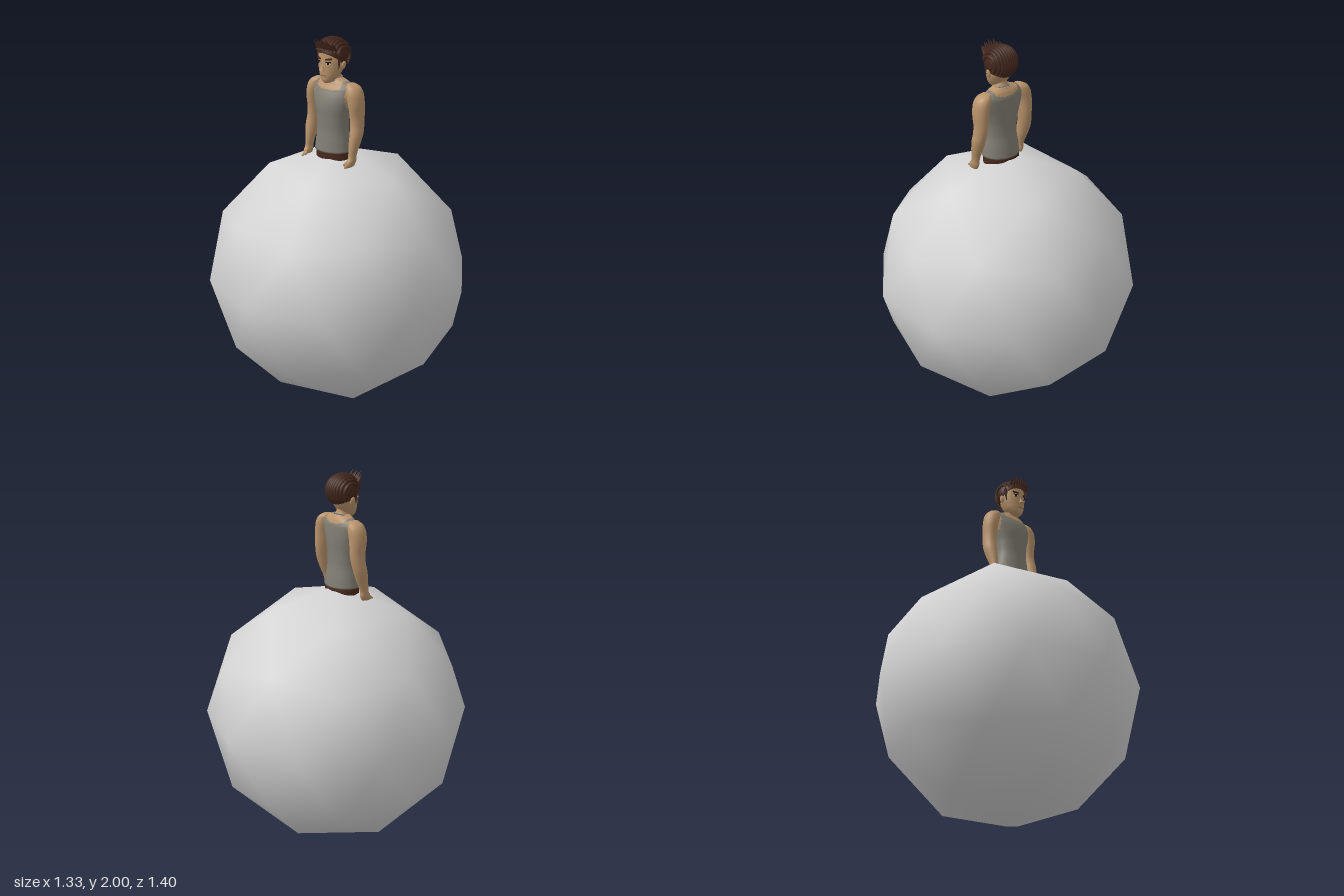
import * as THREE from 'three';

const mat = (name, color, side = THREE.FrontSide) => {
  const m = new THREE.MeshStandardMaterial({ color, side });
  m.name = name;
  return m;
};

// Smooth body from rows of [y, centre x, centre z, radius x, radius z], lowest first.
// pick(x, y, z) gives the material group of each face.
function loft(rows, n = 24, steps = 24, pick = () => 0) {
  const mid = new THREE.CatmullRomCurve3(rows.map(r => new THREE.Vector3(r[1], r[0], r[2])));
  const rad = new THREE.CatmullRomCurve3(rows.map(r => new THREE.Vector3(r[3], 0, r[4])));
  const rings = [];
  for (let i = 0; i <= steps; i++) rings.push([mid.getPoint(i / steps), rad.getPoint(i / steps)]);
  const none = new THREE.Vector3();
  rings.unshift([rings[0][0], none]);
  rings.push([rings[rings.length - 1][0], none]);

  const pos = [], lists = [[], []];
  for (const [c, r] of rings) {
    for (let j = 0; j < n; j++) {
      const a = j / n * Math.PI * 2;
      pos.push(c.x + r.x * Math.cos(a), c.y, c.z + r.z * Math.sin(a));
    }
  }
  for (let i = 0; i < rings.length - 1; i++) {
    for (let j = 0; j < n; j++) {
      const a = i * n + j, b = i * n + (j + 1) % n, c = b + n, d = a + n;
      const at = k => (pos[a * 3 + k] + pos[c * 3 + k]) / 2;
      lists[pick(at(0), at(1), at(2))].push(a, d, b, b, d, c);
    }
  }
  const g = new THREE.BufferGeometry();
  g.setAttribute('position', new THREE.Float32BufferAttribute(pos, 3));
  g.setIndex([...lists[0], ...lists[1]]);
  g.addGroup(0, lists[0].length, 0);
  if (lists[1].length) g.addGroup(lists[0].length, lists[1].length, 1);
  g.computeVertexNormals();
  return g;
}

// Aim a y-aligned geometry from point a to point b
function aim(g, a, b) {
  const p = new THREE.Vector3(...a), q = new THREE.Vector3(...b);
  const dir = q.clone().sub(p).normalize();
  g.applyQuaternion(new THREE.Quaternion().setFromUnitVectors(new THREE.Vector3(0, 1, 0), dir));
  const m = p.add(q).multiplyScalar(0.5);
  return g.translate(m.x, m.y, m.z);
}
const dist = (a, b) => new THREE.Vector3(...a).distanceTo(new THREE.Vector3(...b));
const capsule = (a, b, r) => aim(new THREE.CapsuleGeometry(r, dist(a, b), 4, 8), a, b);
const spike = (a, b, r) => aim(new THREE.ConeGeometry(r, dist(a, b), 7), a, b);

export function createModel() {
  const root = new THREE.Group();
  const ballGrey = mat('ball grey', 0xd4d4d4);
  const skin = mat('skin', 0xb9936b);
  const shirt = mat('shirt grey', 0x827e73);
  const hairMat = mat('hair brown', 0x42261b, THREE.DoubleSide);
  const trousers = mat('trouser brown', 0x47291e);
  const dark = mat('eye dark', 0x1f1512);
  const white = mat('eye white', 0xc9c0b4);
  const lipMat = mat('lip', 0x8f6249);
  const chainMat = mat('chain blue grey', 0x6f7a85);
  const add = (name, geo, material, parent = root) => {
    const m = new THREE.Mesh(geo, material);
    m.name = name;
    parent.add(m);
    return m;
  };
  const plate = (name, w, h, x, y, z, material, parent, ry = 0, rz = 0) => {
    const m = add(name, new THREE.BoxGeometry(w, h, 0.006), material, parent);
    m.position.set(x, y, z);
    m.rotation.set(0, ry, rz);
  };

  // Large faceted ball with a vertex at each pole
  const ball = new THREE.IcosahedronGeometry(0.7, 1);
  ball.rotateZ(-Math.atan2(2, 1 + Math.sqrt(5))).translate(0, 0.7, 0);
  add('ball', ball, ballGrey);

  // Hips, sinking into the ball
  add('hips', loft([
    [1.27, 0, 0.036, 0.098, 0.078], [1.35, 0, 0.036, 0.102, 0.08],
    [1.39, 0, 0.036, 0.101, 0.08], [1.42, 0, 0.038, 0.094, 0.074],
  ], 32, 12), trousers);

  // Torso: sleeveless shirt with a scooped neck and bare armholes
  const bare = (x, y, z) => {
    const ax = Math.abs(x);
    const scoop = ax < 0.075 && y > (z > 0.03 ? 1.722 : 1.738) + 2.5 * ax * ax;
    const armhole = ax > 0.105 && y > 1.64;
    return scoop || armhole || y > 1.768 ? 1 : 0;
  };
  add('torso', loft([
    [1.4, 0, 0.04, 0.104, 0.086], [1.45, 0, 0.04, 0.098, 0.081],
    [1.52, 0, 0.042, 0.09, 0.073], [1.58, 0, 0.043, 0.094, 0.073],
    [1.64, 0, 0.042, 0.108, 0.075], [1.69, 0, 0.037, 0.122, 0.07],
    [1.73, 0, 0.03, 0.125, 0.06], [1.76, 0, 0.028, 0.1, 0.046],
    [1.78, 0, 0.032, 0.045, 0.036],
  ], 64, 56, bare), [shirt, skin]);

  // Neck and thin chain
  add('neck', loft([
    [1.75, 0, 0.03, 0.042, 0.04], [1.78, 0, 0.034, 0.037, 0.036], [1.84, 0, 0.042, 0.037, 0.036],
  ], 20, 8), skin);
  const chain = new THREE.TorusGeometry(0.043, 0.003, 6, 28);
  chain.rotateX(Math.PI / 2 + 0.2).translate(0, 1.776, 0.036);
  add('neckChain', chain, chainMat);

  // Arms and hands
  for (const s of [1, -1]) {
    const arm = new THREE.Group();
    arm.name = s > 0 ? 'leftArm' : 'rightArm';
    root.add(arm);
    add('armShape', loft([
      [1.345, 0.149, 0.078, 0.013, 0.028], [1.37, 0.15, 0.07, 0.018, 0.031],
      [1.39, 0.15, 0.064, 0.018, 0.025], [1.42, 0.15, 0.058, 0.021, 0.028],
      [1.46, 0.151, 0.047, 0.027, 0.035], [1.51, 0.152, 0.034, 0.032, 0.04],
      [1.55, 0.149, 0.025, 0.032, 0.041], [1.6, 0.145, 0.022, 0.034, 0.044],
      [1.66, 0.143, 0.026, 0.038, 0.049], [1.71, 0.134, 0.027, 0.041, 0.05],
      [1.745, 0.122, 0.026, 0.036, 0.042], [1.762, 0.108, 0.026, 0.02, 0.024],
    ].map(([y, x, ...r]) => [y, x * s, ...r]), 20, 40), skin, arm);
    for (let k = 0; k < 4; k++) {
      add('finger', capsule([s * 0.15, 1.362, 0.056 + k * 0.012],
        [s * 0.148, 1.342 + k * 0.002, 0.074 + k * 0.014], 0.0075), skin, arm);
    }
    add('thumb', capsule([s * 0.146, 1.378, 0.085], [s * 0.135, 1.357, 0.108], 0.0075), skin, arm);
  }

  // Head and face
  const head = new THREE.Group();
  head.name = 'head';
  root.add(head);
  add('skull', loft([
    [1.762, 0, 0.083, 0.018, 0.022], [1.775, 0, 0.077, 0.034, 0.037],
    [1.8, 0, 0.065, 0.052, 0.052], [1.84, 0, 0.053, 0.066, 0.066],
    [1.88, 0, 0.046, 0.071, 0.073], [1.92, 0, 0.044, 0.07, 0.073],
    [1.95, 0, 0.043, 0.058, 0.06], [1.97, 0, 0.043, 0.025, 0.025],
  ], 32, 28), skin, head);
  const nose = new THREE.ConeGeometry(0.013, 0.045, 6);
  nose.rotateX(-0.22).translate(0, 1.847, 0.119);
  add('nose', nose, skin, head);
  plate('mouth', 0.032, 0.006, 0, 1.802, 0.115, lipMat, head);
  for (const s of [1, -1]) {
    plate('eyeWhite', 0.024, 0.01, s * 0.031, 1.866, 0.111, white, head, s * 0.4);
    plate('iris', 0.012, 0.011, s * 0.03, 1.866, 0.1125, dark, head, s * 0.4);
    plate('upperLid', 0.028, 0.005, s * 0.031, 1.873, 0.1125, dark, head, s * 0.4);
    plate('eyebrow', 0.034, 0.008, s * 0.032, 1.888, 0.112, hairMat, head, s * 0.4, s * 0.15);
    const ear = new THREE.SphereGeometry(1, 12, 8);
    ear.scale(0.008, 0.022, 0.014).rotateZ(-s * 0.2).translate(s * 0.074, 1.855, 0.045);
    add('ear', ear, skin, head);
    add('sideburn', spike([s * 0.069, 1.91, 0.07], [s * 0.066, 1.83, 0.074], 0.012), hairMat, head);
  }

  // Hair: a tilted cap, strands swept back and a spiky fringe
  const hair = new THREE.Group();
  hair.name = 'hair';
  head.add(hair);
  const cap = new THREE.SphereGeometry(1, 28, 18, 0, Math.PI * 2, 0, 2.0);
  cap.rotateX(-0.64).scale(0.08, 0.082, 0.083).translate(0, 1.9, 0.041);
  add('hairCap', cap, hairMat, hair);
  for (let k = -5; k <= 5; k++) {
    const x = k * 0.0142, s = Math.sqrt(1 - (x / 0.085) ** 2), pts = [];
    for (let i = 0; i <= 10; i++) {
      const a = 1.2 - i * 0.36;
      pts.push(new THREE.Vector3(x, 1.9 + 0.08 * s * Math.cos(a), 0.042 + 0.081 * s * Math.sin(a)));
    }
    add('strand', new THREE.TubeGeometry(new THREE.CatmullRomCurve3(pts), 20, 0.0095, 6), hairMat, hair);
    // Fringe spike and a tapered nape tip
    const h = 1.996 - 0.0012 * k * k - (k % 2 ? 0.009 : 0);
    const z = 0.042 + 0.066 * s;
    if (Math.abs(k) < 5) {
      add('fringeSpike', spike([x * 0.95, 1.935, z], [x * 1.05, h, z + 0.028], 0.014), hairMat, hair);
    }
    const end = pts[10];
    add('napeTip', spike([x, end.y + 0.012, end.z - 0.004], [x * 0.9, end.y - 0.012, end.z + 0.006], 0.01), hairMat, hair);
  }
  return root;
}
